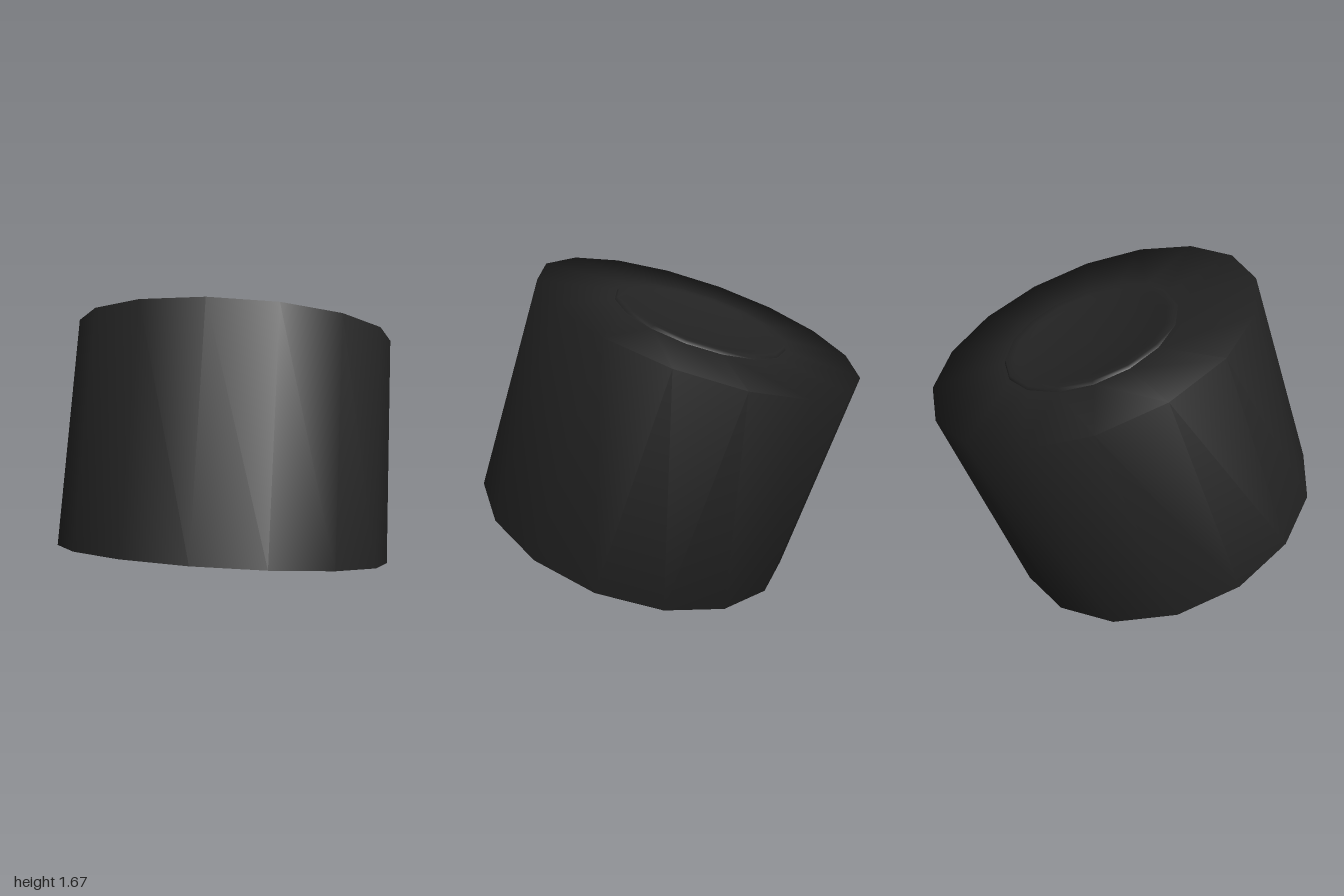
import * as THREE from 'three';

const charcoal = new THREE.MeshStandardMaterial({ color: 0x222222, side: THREE.DoubleSide });
charcoal.name = 'charcoal';

const HEIGHT = 1.147;
const TILT = THREE.MathUtils.degToRad(-20.5);

// Sixteen-sided smooth surface turned from a [radius, height] profile
function turned(name, profile) {
  const geometry = new THREE.LatheGeometry(profile.map(([r, y]) => new THREE.Vector2(r, y)), 16);
  const mesh = new THREE.Mesh(geometry, charcoal);
  mesh.name = name;
  return mesh;
}

export function createModel() {
  const model = new THREE.Group();
  model.name = 'tiltedCup';

  // Open-bottomed wall flowing smoothly into the top
  const shell = turned('shell', [[0.852, 0], [0.845, HEIGHT], [0.45, HEIGHT]]);
  // The wall narrows sideways toward the top
  const p = shell.geometry.attributes.position;
  for (let i = 0; i < p.count; i++) {
    if (p.getY(i) > 0.5 && Math.hypot(p.getX(i), p.getZ(i)) > 0.6) p.setX(i, p.getX(i) * 0.967);
  }

  // Low raised lip around a shallow dished centre
  const dish = turned('dish', [
    [0.45, HEIGHT], [0.44, HEIGHT + 0.015], [0.40, HEIGHT + 0.01], [0.36, HEIGHT],
    [0.26, HEIGHT - 0.02], [0.13, HEIGHT - 0.032], [0, HEIGHT - 0.036],
  ]);

  const body = new THREE.Group();
  body.name = 'body';
  body.add(shell, dish);
  body.rotation.x = TILT;
  body.position.set(0, 0.3, 0.2);
  model.add(body);
  return model;
}
